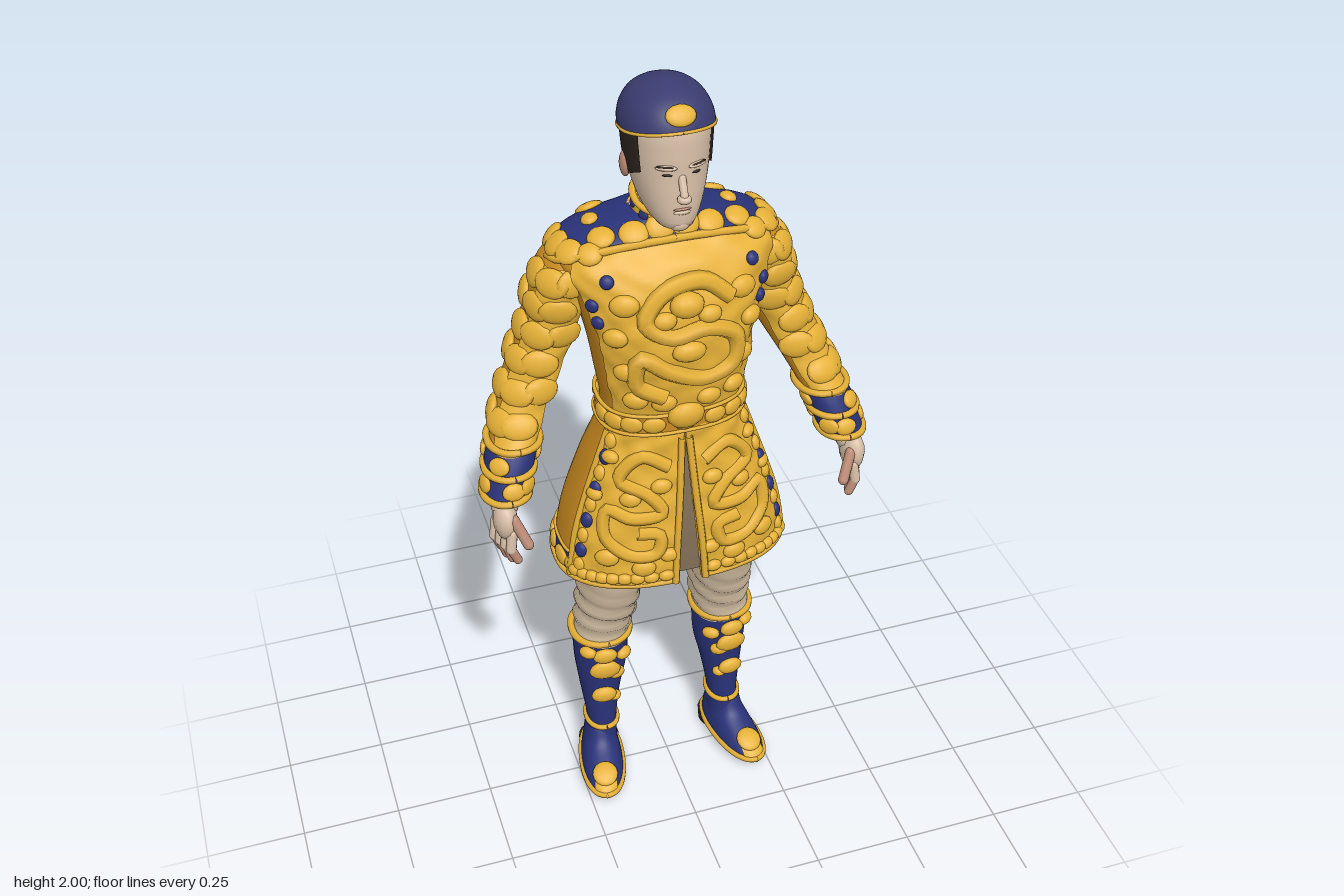
import * as THREE from 'three';
import { mergeVertices } from 'three/addons/utils/BufferGeometryUtils.js';

const mat = (name, color) => Object.assign(new THREE.MeshStandardMaterial({ color, side: THREE.DoubleSide }), { name });
const gold = mat('gold embroidery', 0xe6b137), amber = mat('amber cloth', 0xc98a20), navy = mat('navy cloth', 0x293278);
const velvet = mat('cap velvet', 0x3a3c70), skin = mat('skin', 0xdac1a9), warm = mat('warm skin', 0xbd8b76);
const breeches = mat('breeches', 0xd8c3a6), hair = mat('dark hair', 0x2e2621), sole = mat('sole leather', 0x2a2220), lining = mat('lining', 0x7f6d55);

// Cross-sections: [y, centre x, centre z, half width, half depth, corner exponent (first ring only)]
const coat = [[0.77, 0, 0, 0.283, 0.178, 0.8], [0.9, 0, 0, 0.262, 0.168], [1.05, 0, 0.005, 0.215, 0.142], [1.2, 0, 0.015, 0.163, 0.113],
  [1.3, 0, 0.012, 0.172, 0.13], [1.42, 0, 0.005, 0.192, 0.146], [1.53, 0, -0.015, 0.222, 0.148], [1.6, 0, -0.03, 0.248, 0.132],
  [1.645, 0, -0.04, 0.212, 0.097], [1.675, 0, -0.04, 0.11, 0.07], [1.69, 0, -0.035, 0.06, 0.06]];
const sleeve = [[1.07, 0.415, 0.075, 0.047, 0.058], [1.15, 0.39, 0.04, 0.052, 0.062], [1.25, 0.345, -0.02, 0.058, 0.066],
  [1.35, 0.295, -0.05, 0.064, 0.072], [1.45, 0.255, -0.058, 0.065, 0.08], [1.53, 0.24, -0.05, 0.06, 0.084],
  [1.585, 0.228, -0.05, 0.046, 0.072], [1.61, 0.215, -0.05, 0.026, 0.045], [1.62, 0.21, -0.05, 0.002, 0.002]];
const leg = [[0.44, 0.165, -0.055, 0.07, 0.076], [0.5, 0.158, -0.052, 0.072, 0.083], [0.6, 0.15, -0.032, 0.075, 0.1],
  [0.7, 0.143, -0.022, 0.083, 0.125], [0.78, 0.133, -0.022, 0.093, 0.137], [0.97, 0.1, -0.01, 0.1, 0.12]];
const boot = [[0.07, 0.175, -0.04, 0.042, 0.055], [0.14, 0.172, -0.045, 0.038, 0.052], [0.25, 0.17, -0.058, 0.052, 0.062],
  [0.35, 0.165, -0.062, 0.068, 0.072], [0.465, 0.165, -0.056, 0.073, 0.078]];
const foot = [[0.018, 0, 0.045, 0.056, 0.138], [0.04, 0, 0.04, 0.054, 0.13], [0.065, 0, 0.018, 0.048, 0.103], [0.09, 0, -0.005, 0.042, 0.072], [0.13, 0, -0.012, 0.037, 0.05]];
const head = [[1.683, 0, 0.06, 0.001, 0.001], [1.692, 0, 0.055, 0.034, 0.044], [1.72, 0, 0.028, 0.058, 0.08], [1.76, 0, 0.01, 0.074, 0.099],
  [1.81, 0, 0.001, 0.085, 0.107], [1.87, 0, -0.004, 0.091, 0.112], [1.92, 0, -0.006, 0.092, 0.11], [1.96, 0, -0.006, 0.075, 0.09],
  [1.985, 0, -0.006, 0.045, 0.055], [1.996, 0, -0.006, 0.018, 0.022], [2, 0, -0.006, 0, 0]];
const collar = [[1.6, 0, -0.03, 0.08, 0.078], [1.66, 0, -0.028, 0.074, 0.072], [1.76, 0, -0.02, 0.062, 0.062]];
const mirror = (rings, s) => rings.map(([y, x, ...rest]) => [y, x * s, ...rest]);

// Smooth blend of the cross-sections at height y
function section(rings, y) {
  const n = rings.length;
  y = Math.min(Math.max(y, rings[0][0]), rings[n - 1][0]);
  let i = 0;
  while (i < n - 2 && y > rings[i + 1][0]) i++;
  const h = rings[i + 1][0] - rings[i][0], t = (y - rings[i][0]) / h;
  const slope = (j, k) => {
    const a = rings[Math.max(j - 1, 0)], b = rings[Math.min(j + 1, n - 1)];
    return (b[k] - a[k]) / (b[0] - a[0]);
  };
  return [1, 2, 3, 4].map(k => (2 * t ** 3 - 3 * t * t + 1) * rings[i][k] + (t ** 3 - 2 * t * t + t) * h * slope(i, k)
    + (3 * t * t - 2 * t ** 3) * rings[i + 1][k] + (t ** 3 - t * t) * h * slope(i + 1, k));
}
const power = (v, e) => Math.sign(v) * Math.abs(v) ** e;
// Point on a body surface; angle 0 is the front, growing towards +x
function at(rings, a, y, off = 0) {
  const [cx, cz, rx, rz] = section(rings, y), e = rings[0][5] ?? 0.92;
  return new THREE.Vector3(cx + (rx + off) * power(Math.sin(a), e), y, cz + (rz + off) * power(Math.cos(a), e));
}
const frontAngle = (x, y) => Math.sign(x) * Math.asin(Math.min(1, Math.abs(x) / section(coat, y)[2]) ** 1.25);

function add(parent, name, geometry, material) {
  const m = new THREE.Mesh(geometry, material);
  m.name = name;
  parent.add(m);
  return m;
}
const fn = f => (typeof f === 'function' ? f : () => f);
// Part of a body surface between two heights and two angles
function patch(parent, name, material, rings, lo, hi, { from = 0, to = Math.PI * 2, off = 0, nu = 48, nv = 20 } = {}) {
  const pos = [], idx = [];
  for (let j = 0; j <= nv; j++) for (let i = 0; i <= nu; i++) {
    const v = Math.sin(j / nv * Math.PI / 2), a0 = fn(from)(v), a = a0 + (fn(to)(v) - a0) * i / nu;
    const y = fn(lo)(a) + (fn(hi)(a) - fn(lo)(a)) * v;
    pos.push(...at(rings, a, y, fn(off)(a, y)).toArray());
    if (i < nu && j < nv) {
      const p = j * (nu + 1) + i, q = p + nu + 1;
      idx.push(p, p + 1, q + 1, p, q + 1, q);
    }
  }
  let g = new THREE.BufferGeometry();
  g.setAttribute('position', new THREE.Float32BufferAttribute(pos, 3));
  g.setIndex(idx);
  g = mergeVertices(g, 1e-5);
  g.computeVertexNormals();
  add(parent, name, g, material);
}
const ball = new THREE.SphereGeometry(1, 12, 8);
function blob(parent, name, material, p, size) {
  const m = add(parent, name, ball, material);
  m.position.set(...p);
  m.scale.set(...size);
  return m;
}
// Padded embroidery boss lying on a surface
function boss(parent, rings, a, y, w, h, d = 0.014, off = 0.006, material = gold, name = 'embroideredBoss') {
  const p = at(rings, a, y, off), e = 0.01;
  const du = at(rings, a + e, y).sub(at(rings, a - e, y)), dv = at(rings, a, y + e).sub(at(rings, a, y - e));
  blob(parent, name, material, p.toArray(), [w, h, d]).lookAt(p.clone().add(du.cross(dv)));
}
// Gold cord along [angle, height] points on a surface
function cord(parent, name, rings, pts, r, off = 0.008) {
  const curve = new THREE.CatmullRomCurve3(pts.map(([a, y]) => at(rings, a, y, off)));
  add(parent, name, new THREE.TubeGeometry(curve, Math.max(56, pts.length * 2), r, 6), gold);
}
const arc = (y, a = 0, b = Math.PI * 2, n = 24) => Array.from({ length: n + 1 }, (_, i) => [a + (b - a) * i / n, fn(y)(a + (b - a) * i / n)]);
function limb(parent, name, material, p, q, r) {
  const a = new THREE.Vector3(...p), b = new THREE.Vector3(...q), d = b.clone().sub(a);
  const m = add(parent, name, new THREE.CapsuleGeometry(r, d.length(), 4, 10), material);
  m.position.copy(a).addScaledVector(d, 0.5);
  m.quaternion.setFromUnitVectors(new THREE.Vector3(0, 1, 0), d.normalize());
}

export function createModel() {
  const model = new THREE.Group();
  const group = name => { const g = new THREE.Group(); g.name = name; model.add(g); return g; };
  const TAU = Math.PI * 2;

  // Coat: split skirt, bodice, lining
  const c = group('coat'), slit = v => 0.056 * (1 - v);
  const capeEdge = a => 1.602 + 0.05 * Math.cos(a) - 0.05 * Math.max(0, -Math.cos(a)) * Math.abs(Math.sin(a));
  patch(c, 'skirt', amber, coat, 0.77, 1.2, { from: slit, to: v => TAU - slit(v), nu: 64 });
  patch(c, 'bodice', amber, coat, 1.2, 1.67, { nu: 64 });
  patch(c, 'skirtLining', lining, coat, 0.785, 1.2, { off: -0.012 });
  const relief = (a, y) => 0.008 + 0.004 * Math.sin(a * 11 + Math.sin(y * 40)) * Math.sin(y * 75 + a * 3);
  patch(c, 'chestRelief', gold, coat, 1.2, capeEdge, { from: -1.1, to: 1.1, off: relief, nv: 36 });
  // Hem with navy band and bosses
  patch(c, 'hemBand', navy, coat, 0.775, 0.83, { from: 1.2, to: TAU - 1.2, off: 0.004, nv: 4 });
  cord(c, 'hemTrim', coat, arc(0.775, 0.06, TAU - 0.06, 40), 0.008, 0.004);
  cord(c, 'hemUpperTrim', coat, arc(0.832, 1.2, TAU - 1.2, 30), 0.004, 0.003);
  for (let i = 0; i < 17; i++) boss(c, coat, 1.2 + i * (TAU - 2.4) / 16, 0.802, i % 2 ? 0.033 : 0.024, 0.022, 0.01, 0.004);
  for (const s of [1, -1]) {
    const f = (x, y) => [frontAngle(x * s, y), y];
    const edges = s > 0 ? { from: slit, to: 1.2 } : { from: -1.2, to: v => -slit(v) };
    patch(c, 'skirtRelief', gold, coat, 0.775, 1.2, { ...edges, off: relief, nu: 40, nv: 36 });
    cord(c, 'slitTrim', coat, [f(0.036, 0.775), f(0.03, 0.88), f(0.02, 1), f(0.008, 1.17)], 0.009, 0.012);
    cord(c, 'sideTrim', coat, [0.78, 0.9, 1, 1.1, 1.18].map(y => [1.2 * s, y]), 0.008);
    for (let i = 0; i < 9; i++) {
      boss(c, coat, 1.06 * s, 0.82 + i * 0.042, 0.016, 0.02, 0.011, 0.007, i % 2 ? navy : gold);
      boss(c, coat, (0.14 + i * 0.12) * s, 0.8, 0.02, 0.015, 0.012, 0.01);
    }
    // Coiled serpent on each skirt panel
    cord(c, 'skirtSerpent', coat, [f(0.04, 1.1), f(0.1, 1.13), f(0.15, 1.07), f(0.09, 1.03), f(0.06, 0.98), f(0.13, 0.97), f(0.18, 0.99),
      f(0.19, 0.92), f(0.14, 0.87), f(0.08, 0.87), f(0.07, 0.92), f(0.12, 0.93)], 0.017, 0.009);
    for (const [x, y, w] of [[0.06, 1.05, 0.026], [0.13, 1.02, 0.026], [0.05, 0.86, 0.024], [0.19, 0.86, 0.03], [0.2, 1.02, 0.022], [0.11, 0.83, 0.03], [0.16, 1.12, 0.022]])
      boss(c, coat, ...f(x, y), w, w * 0.75, 0.014, 0.01);
    for (const [x, y, w] of [[0.13, 1.54, 0.034], [0.15, 1.46, 0.03], [0.13, 1.37, 0.03], [0.11, 1.29, 0.03], [0.05, 1.28, 0.03], [0.05, 1.5, 0.028]])
      boss(c, coat, ...f(x, y), w, w * 0.75, 0.017, 0.01);
    for (const [x, y] of [[0.16, 1.59], [0.19, 1.53], [0.18, 1.49]]) boss(c, coat, ...f(x, y), 0.016, 0.016, 0.01, 0.01, navy);
  }
  // Chest serpent
  const f = (x, y) => [frontAngle(x, y), y];
  cord(c, 'chestSerpent', coat, [f(0.1, 1.53), f(0.04, 1.575), f(-0.05, 1.56), f(-0.09, 1.5), f(-0.04, 1.46), f(0.04, 1.47), f(0.11, 1.43),
    f(0.1, 1.36), f(0.03, 1.34), f(-0.04, 1.37), f(-0.1, 1.41), f(-0.11, 1.34), f(-0.05, 1.3)], 0.021, 0.01);
  boss(c, coat, 0, 1.53, 0.04, 0.03, 0.025, 0.012);
  boss(c, coat, 0, 1.42, 0.04, 0.025, 0.02, 0.012);

  // Belt: padded gold in front, plain behind with navy plaques
  const b = group('belt');
  patch(b, 'beltBand', amber, coat, 1.187, 1.24, { off: 0.011, nv: 6 });
  for (const y of [1.187, 1.24]) cord(b, 'beltTrim', coat, arc(y), 0.005, 0.011);
  for (let i = -4; i <= 4; i++) boss(b, coat, i * 0.35, 1.214, 0.028, 0.022, 0.011, 0.012);
  boss(b, coat, 0, 1.235, 0.045, 0.036, 0.024, 0.012, gold, 'buckle');
  boss(b, coat, Math.PI, 1.214, 0.026, 0.02, 0.009, 0.012);
  for (const s of [1, -1]) {
    patch(b, 'beltPlaque', navy, coat, 1.194, 1.233, { from: s * 2.45 - 0.3, to: s * 2.45 + 0.3, off: 0.015, nu: 10, nv: 3 });
    boss(b, coat, s * 2.1, 1.214, 0.022, 0.018, 0.009, 0.012);
  }

  // Shoulder cape and stand collar
  const k = group('shoulderCape');
  patch(k, 'capeCloth', navy, coat, capeEdge, 1.69, { off: 0.012, nu: 64 });
  cord(k, 'capeTrim', coat, arc(capeEdge, 0, TAU, 48), 0.009, 0.013);
  for (const s of [1, -1])
    for (const [a, y, w] of [[2.45, 1.652, 0.034], [2.75, 1.585, 0.03], [2.15, 1.592, 0.028], [0.95, 1.658, 0.032], [0.15, 1.672, 0.034], [0.5, 1.665, 0.034],
      [0.85, 1.635, 0.03], [1.2, 1.632, 0.034], [1.55, 1.63, 0.036], [1.85, 1.625, 0.034], [1.65, 1.664, 0.022]])
      boss(k, coat, a * s, y, w, w * 0.9, 0.013, 0.01);
  const rim = a => 1.722 - 0.02 * Math.cos(a);
  patch(k, 'collarBand', gold, collar, 1.62, rim, { nv: 8 });
  cord(k, 'collarTrim', collar, arc(rim), 0.008, 0.002);
  cord(k, 'collarBaseTrim', collar, arc(a => rim(a) - 0.045), 0.007, 0.003);
  for (let i = 0; i < 10; i++) boss(k, collar, (i + 0.5) * TAU / 10, rim(i * TAU / 10) - 0.022, 0.013, 0.012, 0.006, 0.001, navy);

  // Head
  const h = group('head');
  limb(h, 'neck', skin, [0, 1.6, -0.035], [0, 1.77, -0.015], 0.055);
  patch(h, 'face', skin, head, 1.683, 1.95, { nv: 28 });
  patch(h, 'hair', hair, head, a => 1.795 + 0.055 * Math.cos(a), 1.94, { from: 0.98, to: TAU - 0.98, off: 0.005 });
  const brim = a => 1.897 + 0.028 * Math.cos(a);
  patch(h, 'cap', velvet, head, brim, 2, { off: (a, y) => 0.009 * Math.min(1, (2 - y) / 0.02), nv: 28 });
  cord(h, 'capTrim', head, arc(brim), 0.004, 0.008);
  boss(h, head, 0, 1.957, 0.034, 0.024, 0.01, 0.008);
  limb(h, 'noseBridge', skin, [0, 1.82, 0.104], [0, 1.785, 0.122], 0.009);
  blob(h, 'noseTip', skin, [0, 1.777, 0.121], [0.016, 0.011, 0.015]);
  blob(h, 'chin', skin, [0, 1.704, 0.09], [0.025, 0.018, 0.018]);
  blob(h, 'upperLip', warm, [0, 1.747, 0.108], [0.02, 0.003, 0.006]);
  blob(h, 'lowerLip', skin, [0, 1.739, 0.106], [0.02, 0.006, 0.007]);
  for (const s of [1, -1]) {
    boss(h, head, 0.36 * s, 1.846, 0.024, 0.006, 0.008, 0.001, skin, 'browRidge');
    boss(h, head, 0.38 * s, 1.849, 0.02, 0.0025, 0.005, 0.003, hair, 'eyebrow');
    boss(h, head, 0.34 * s, 1.829, 0.011, 0.0025, 0.004, 0.001, hair, 'eye');
    blob(h, 'ear', warm, [0.09 * s, 1.81, -0.012], [0.012, 0.03, 0.02]);
  }

  for (const s of [1, -1]) {
    const side = s > 0 ? 'left' : 'right';
    // Sleeve: gold relief in front, scattered bosses outside, banded cuff
    const a = group(side + 'Arm'), sl = mirror(sleeve, s);
    const [from, to] = [-0.75 * s, 1.15 * s].sort((p, q) => p - q);
    patch(a, 'sleeve', amber, sl, 1.07, 1.62, { nu: 32, nv: 28 });
    patch(a, 'sleeveRelief', gold, sl, 1.17, 1.59, { from, to, nu: 20, nv: 28, off: (t, y) => 0.006 + 0.003 * Math.sin(y * 70 + t * s * 3) });
    for (let i = 0; i < 6; i++) for (let j = 0; j < 3; j++)
      boss(a, sl, s * (-0.2 + j * 0.85 + (i % 2) * 0.4), 1.56 - i * 0.067, 0.044, 0.034, 0.015, 0.001);
    patch(a, 'cuff', navy, sl, 1.07, 1.18, { off: 0.006, nu: 32, nv: 6 });
    for (const y of [1.072, 1.125, 1.178]) cord(a, 'cuffTrim', sl, arc(y), 0.009, 0.007);
    for (let i = 0; i < 9; i++) boss(a, sl, i * s * TAU / 9, i % 2 ? 1.15 : 1.098, 0.027, 0.021, 0.01, 0.007);
    // Hand
    limb(a, 'wrist', skin, [0.41 * s, 1.11, 0.07], [0.425 * s, 1.05, 0.105], 0.033);
    blob(a, 'palm', skin, [0.43 * s, 1.022, 0.123], [0.029, 0.052, 0.044]);
    for (let i = 0; i < 4; i++) {
      const z = 0.092 + i * 0.021, x = 0.452 - i * 0.008, tip = 0.922 - 0.01 * Math.sin(i * 1.1);
      limb(a, 'finger', skin, [(x - 0.006) * s, 1.0, z], [x * s, 0.957, z + 0.004], 0.0125);
      limb(a, 'fingertip', warm, [x * s, 0.957, z + 0.004], [(x - 0.014) * s, tip, z + 0.004], 0.011);
    }
    limb(a, 'thumb', warm, [0.415 * s, 1.035, 0.15], [0.39 * s, 0.975, 0.175], 0.013);

    // Breeches with soft folds, boot and shoe
    const l = group(side + 'Leg'), lg = mirror(leg, s), bt = mirror(boot, s);
    const folds = (t, y) => 0.007 * Math.sin(y * 105 + Math.sin(t + s) * 3) * Math.max(0, 1 - Math.abs(y - 0.55) / 0.16);
    patch(l, 'breechesLeg', breeches, lg, 0.44, 0.97, { nv: 44, nu: 36, off: folds });
    patch(l, 'bootShaft', navy, bt, 0.07, 0.465, { nu: 32 });
    cord(l, 'bootTopTrim', bt, arc(0.46), 0.01, 0.002);
    cord(l, 'ankleTrim', bt, arc(0.142), 0.008, 0.002);
    for (const [t, y, w] of [[0.1, 0.415, 0.033], [-0.6, 0.4, 0.024], [0.1, 0.36, 0.042], [-0.3, 0.34, 0.024], [0.1, 0.265, 0.034], [-0.4, 0.25, 0.018], [0.7, 0.425, 0.024]])
      boss(l, bt, t * s, y, w, w * 0.72, 0.016, 0.004);
    const ft = new THREE.Group();
    ft.name = 'shoe';
    patch(ft, 'shoeUpper', navy, foot, 0.018, 0.13, { nu: 36 });
    patch(ft, 'toeCap', gold, foot, 0.02, 0.052, { from: -0.5, to: 0.5, off: 0.003, nu: 16, nv: 6 });
    boss(ft, foot, 0, 0.06, 0.034, 0.034, 0.012, 0.002);
    cord(ft, 'weltTrim', foot, arc(0.026), 0.008, 0);
    blob(ft, 'outsole', sole, [0, 0.016, 0.045], [0.056, 0.012, 0.138]);
    const heel = add(ft, 'heel', new THREE.CylinderGeometry(0.055, 0.053, 0.03, 20), sole);
    heel.position.set(0, 0.015, -0.04);
    ft.position.set(0.18 * s, 0, -0.035);
    ft.rotation.y = 0.18 * s;
    l.add(ft);
  }
  return model;
}
